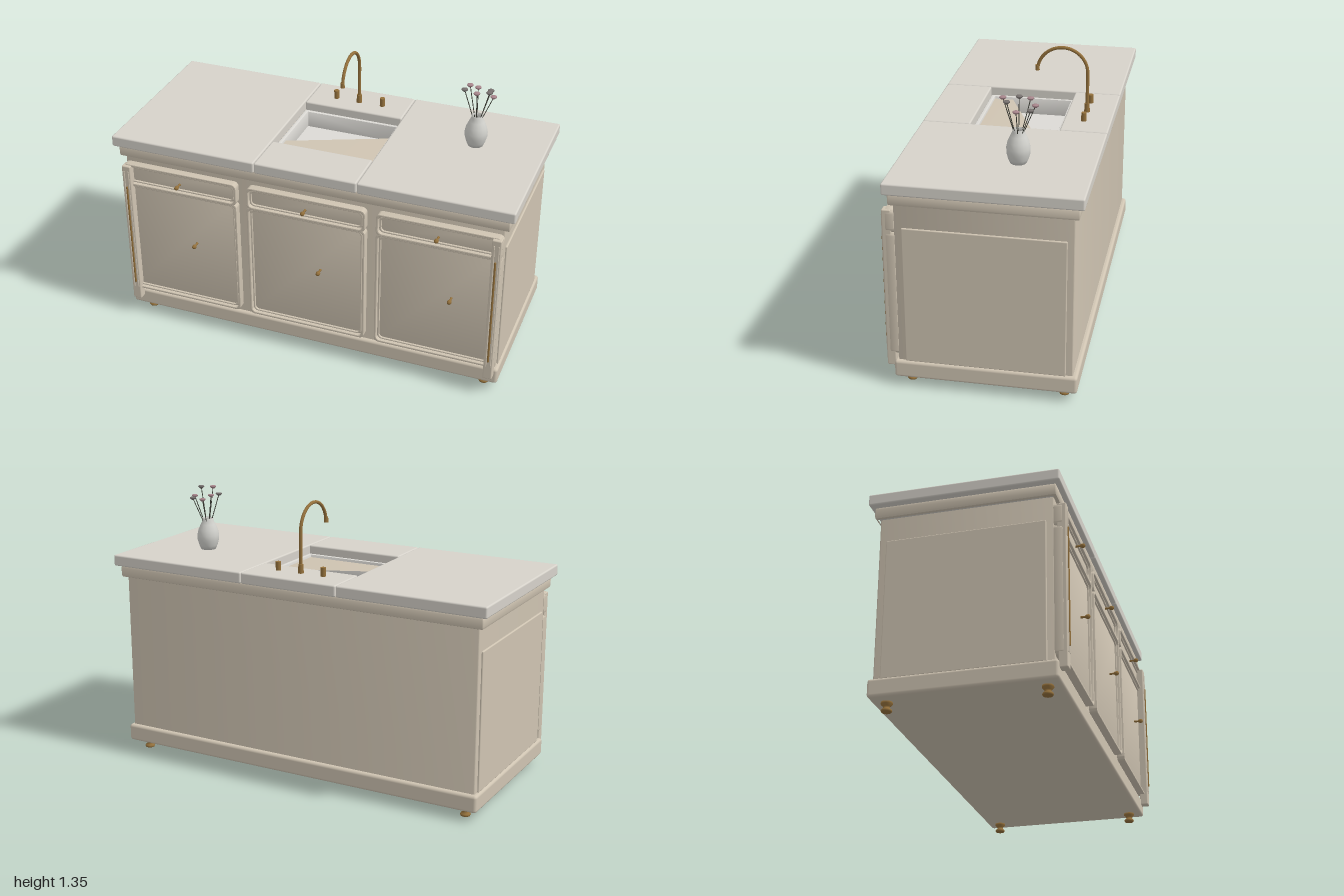
import * as THREE from 'three';
import { RoundedBoxGeometry } from 'three/addons/geometries/RoundedBoxGeometry.js';
import { toCreasedNormals } from 'three/addons/utils/BufferGeometryUtils.js';

const mat = (color) => new THREE.MeshStandardMaterial({ color });

export function createModel() {
  const model = new THREE.Group();
  const paint = mat(0xcfc4b2), stone = mat(0xd6d2ca), porcelain = mat(0xdcdad5);
  const brass = mat(0x94713c), ceramic = mat(0xd2d2cd), stemGreen = mat(0x3c3d35);
  const petals = [mat(0xa8868c), mat(0x77716f)];

  const add = (name, geometry, material, x = 0, y = 0, z = 0, parent = model) => {
    const mesh = new THREE.Mesh(geometry, material);
    mesh.name = name;
    mesh.position.set(x, y, z);
    parent.add(mesh);
    return mesh;
  };
  // Soft-edged box given by its limits
  const block = (name, material, [x0, x1], [y0, y1], [z0, z1], r = 0.008) =>
    add(name, new RoundedBoxGeometry(x1 - x0, y1 - y0, z1 - z0, 2, r), material,
      (x0 + x1) / 2, (y0 + y1) / 2, (z0 + z1) / 2);
  // Rectangle with rounded corners
  const roundRect = (x0, x1, y0, y1, r, Type = THREE.Shape) => {
    const p = new Type();
    p.moveTo(x0 + r, y0);
    p.lineTo(x1 - r, y0);
    p.absarc(x1 - r, y0 + r, r, -Math.PI / 2, 0);
    p.lineTo(x1, y1 - r);
    p.absarc(x1 - r, y1 - r, r, 0, Math.PI / 2);
    p.lineTo(x0 + r, y1);
    p.absarc(x0 + r, y1 - r, r, Math.PI / 2, Math.PI);
    p.lineTo(x0, y0 + r);
    p.absarc(x0 + r, y0 + r, r, Math.PI, Math.PI * 1.5);
    return p;
  };
  const extrude = (shape, depth, bevel) => toCreasedNormals(new THREE.ExtrudeGeometry(shape, {
    depth: depth - 2 * bevel, bevelEnabled: bevel > 0, bevelThickness: bevel, bevelSize: bevel,
    bevelOffset: -bevel, bevelSegments: 2, curveSegments: 5,
  }).translate(0, 0, bevel), 0.6);
  // Horizontal ring around a rectangular well
  const ring = (name, material, [x0, x1], [y0, y1], [z0, z1], [hx, hz0, hz1], bevel) => {
    const shape = roundRect(x0, x1, -z1, -z0, 0.006);
    shape.holes.push(roundRect(-hx, hx, -hz1, -hz0, 0.004, THREE.Path));
    add(name, extrude(shape, y1 - y0, bevel).rotateX(-Math.PI / 2), material, 0, y0, 0);
  };

  // Carcass, plinth and cornice, open above for the sink
  const well = [0.249, -0.229, 0.189];
  block('plinth', paint, [-0.968, 0.968], [0.045, 0.13], [-0.437, 0.405], 0.014);
  ring('cabinetBody', paint, [-0.95, 0.95], [0.125, 0.915], [-0.416, 0.387], well, 0);
  ring('cornice', paint, [-0.975, 0.975], [0.912, 0.971], [-0.437, 0.405], well, 0.012);

  // Worktop in four slabs around the sink
  for (const s of [-1, 1]) {
    block('worktopSide', stone, s < 0 ? [-1, -0.257] : [0.257, 1], [0.972, 1.027], [-0.46, 0.425]);
  }
  block('worktopFront', stone, [-0.254, 0.254], [0.972, 1.027], [0.195, 0.425]);
  block('worktopBack', stone, [-0.254, 0.254], [0.972, 1.027], [-0.46, -0.234]);

  // Sink basin
  ring('sinkWalls', porcelain, [-0.253, 0.253], [0.89, 0.985], [-0.233, 0.193], [0.234, -0.214, 0.174], 0.004);
  add('sinkFloor', new THREE.BoxGeometry(0.49, 0.012, 0.41), porcelain, 0, 0.896, -0.02);

  // Knob with a short stem, pointing forward
  const knobProfile = [[0, 0], [0.006, 0], [0.004, 0.02], [0.009, 0.026], [0.011, 0.034], [0.009, 0.042], [0, 0.046]]
    .map(([r, h]) => new THREE.Vector2(r, h));
  const knobGeometry = new THREE.LatheGeometry(knobProfile, 16).rotateX(Math.PI / 2);

  // Three bays, each a drawer above a door
  const framedPanel = (name, cx, y0, y1) => {
    const group = new THREE.Group();
    group.name = name;
    model.add(group);
    const trim = (x, lo, hi, width, r, z, depth) => {
      const shape = roundRect(-x, x, lo, hi, r);
      shape.holes.push(roundRect(-x + width, x - width, lo + width, hi - width, r * 0.8, THREE.Path));
      add('trim', extrude(shape, depth, 0.004), paint, cx, 0, z, group);
    };
    add('panel', extrude(roundRect(-0.296, 0.296, y0 + 0.004, y1 - 0.004, 0.02), 0.022, 0.003),
      paint, cx, 0, 0.384, group);
    trim(0.3, y0, y1, 0.012, 0.024, 0.384, 0.041);
    trim(0.285, y0 + 0.015, y1 - 0.015, 0.009, 0.022, 0.395, 0.02);
  };
  for (const cx of [-0.652, 0, 0.652]) {
    framedPanel('drawer', cx, 0.768, 0.885);
    framedPanel('door', cx, 0.153, 0.778);
    add('drawerKnob', knobGeometry, brass, cx, 0.822, 0.416);
    add('doorKnob', knobGeometry, brass, cx + 0.075, 0.5, 0.416);
  }

  for (const s of [-1, 1]) {
    // Corner posts with a slim inlaid rod
    add('cornerPost', new RoundedBoxGeometry(0.045, 0.785, 0.043, 2, 0.006), paint, s * 0.928, 0.488, 0.42);
    for (const dx of [-0.011, 0.011]) {
      add('postBead', new THREE.CapsuleGeometry(0.004, 0.68, 3, 8), paint, s * 0.928 + dx, 0.51, 0.441);
    }
    add('postRod', new THREE.CapsuleGeometry(0.005, 0.56, 3, 8), brass, s * 0.928, 0.483, 0.444);
    // Raised side panel
    add('sidePanel', new RoundedBoxGeometry(0.02, 0.672, 0.736, 2, 0.005), paint, s * 0.948, 0.464, -0.015);
  }

  // Turned feet
  const footProfile = [[0, 0], [0.022, 0], [0.025, 0.006], [0.022, 0.012], [0.014, 0.018], [0.016, 0.026], [0.026, 0.036], [0.026, 0.048], [0, 0.048]]
    .map(([r, h]) => new THREE.Vector2(r, h));
  const footGeometry = new THREE.LatheGeometry(footProfile, 20);
  for (const x of [-0.89, 0.89]) for (const z of [-0.37, 0.34]) add('foot', footGeometry, brass, x, 0, z);

  // Gooseneck tap: riser, half-circle arch, short drop
  const neck = [new THREE.Vector3(0, 1.03, -0.328), new THREE.Vector3(0, 1.13, -0.328)];
  for (let i = 0; i <= 12; i++) {
    const a = (i / 12) * Math.PI * 0.96;
    neck.push(new THREE.Vector3(0, 1.222 + 0.122 * Math.sin(a), -0.206 - 0.122 * Math.cos(a)));
  }
  add('tapNeck', new THREE.TubeGeometry(new THREE.CatmullRomCurve3(neck), 60, 0.008, 12), brass);
  add('tapSpout', new THREE.CylinderGeometry(0.01, 0.011, 0.026, 16), brass, 0, 1.238, -0.084);
  add('tapBase', new THREE.CylinderGeometry(0.012, 0.014, 0.043, 20), brass, 0, 1.048, -0.328);
  for (const x of [-0.122, 0.122]) {
    add('tapHandle', new THREE.CylinderGeometry(0.013, 0.013, 0.043, 20), brass, x, 1.048, -0.33);
  }

  // Vase
  const vaseProfile = [[0, 0], [0.037, 0], [0.046, 0.02], [0.054, 0.048], [0.055, 0.072], [0.049, 0.1], [0.037, 0.127], [0.027, 0.147], [0.028, 0.158], [0.023, 0.158], [0.022, 0.145], [0.03, 0.12], [0, 0.1]]
    .map(([r, h]) => new THREE.Vector2(r, h));
  add('vase', new THREE.LatheGeometry(vaseProfile, 14), ceramic, 0.665, 1.027, -0.115);

  // Flowers fanning out of the vase
  const heads = [
    [0.645, 1.29, -0.187], [0.71, 1.29, -0.176], [0.738, 1.29, -0.118], [0.727, 1.33, -0.075],
    [0.674, 1.33, -0.048], [0.6, 1.31, -0.107], [0.612, 1.31, -0.16],
  ];
  const headProfile = [[0, -0.008], [0.007, -0.006], [0.016, 0.002], [0.014, 0.007], [0, 0.008]]
    .map(([r, h]) => new THREE.Vector2(r, h));
  const headGeometry = new THREE.LatheGeometry(headProfile, 9);
  heads.forEach(([x, y, z], i) => {
    const root = new THREE.Vector3(0.665 + (x - 0.665) * 0.1, 1.13, -0.115 + (z + 0.115) * 0.1);
    const path = new THREE.LineCurve3(root, new THREE.Vector3(x, y, z));
    add('flowerStem', new THREE.TubeGeometry(path, 1, 0.002, 6), stemGreen);
    add('flowerHead', headGeometry, petals[i % 2], x, y, z);
  });

  return model;
}
